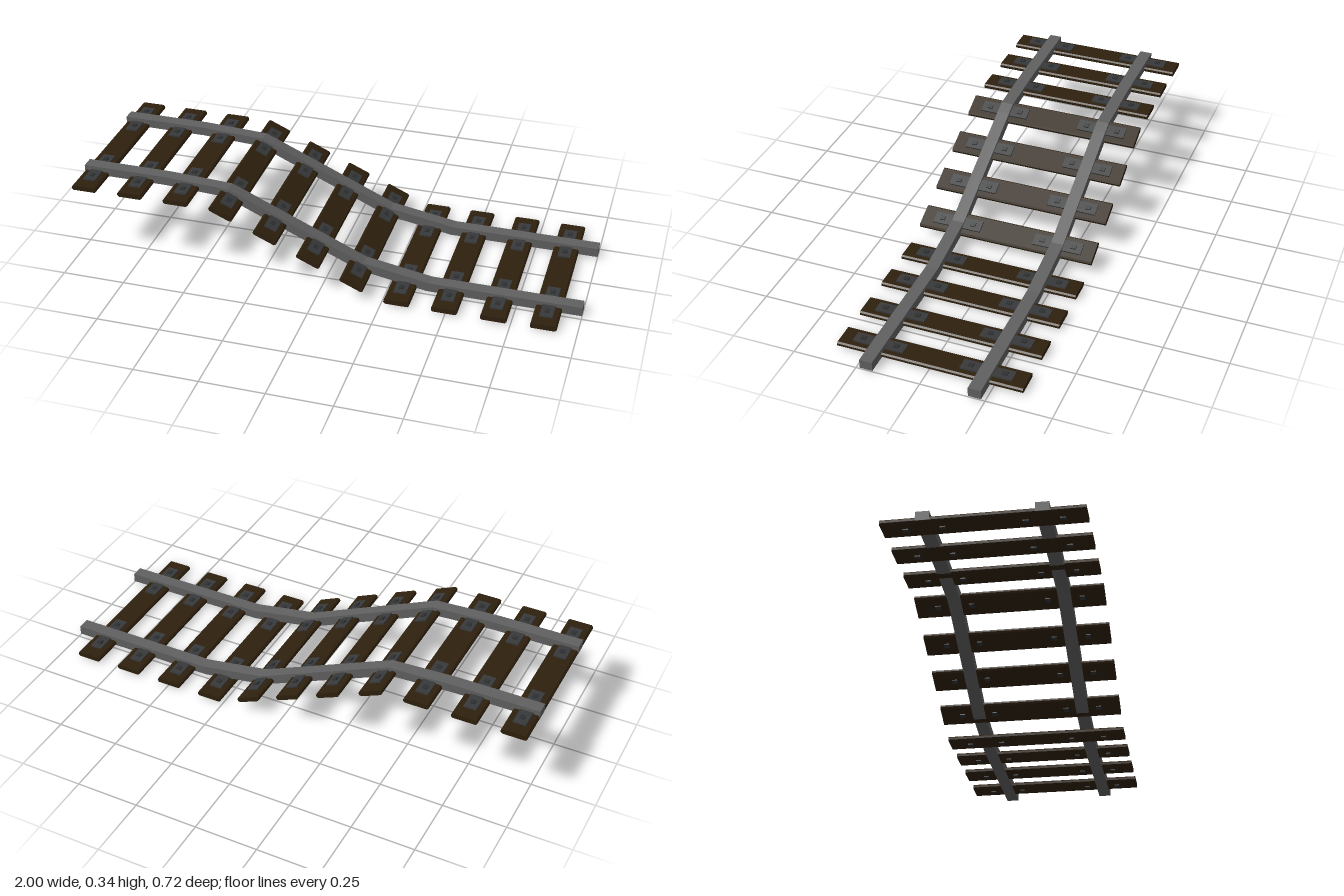
import * as THREE from 'three';

const mat = (name, color) => {
  const m = new THREE.MeshStandardMaterial({ color });
  m.name = name;
  return m;
};

// Extrudes an x/y outline along z, centred on z = 0
function extrudeZ(points, depth) {
  const shape = new THREE.Shape(points.map(([x, y]) => new THREE.Vector2(x, y)));
  const geo = new THREE.ExtrudeGeometry(shape, { depth, bevelEnabled: false });
  return geo.translate(0, 0, -depth / 2);
}

export function createModel() {
  const track = new THREE.Group();
  track.name = 'slopedTrack';
  const steel = mat('railSteel', 0x606061);
  const wood = mat('darkWood', 0x2e200d);
  const iron = mat('plateIron', 0x38393a);
  const boltIron = mat('boltIron', 0x2e3032);

  const add = (parent, name, geo, material, x = 0, y = 0, z = 0) => {
    const mesh = new THREE.Mesh(geo, material);
    mesh.name = name;
    mesh.position.set(x, y, z);
    parent.add(mesh);
  };

  // Rails: side outline running along the bottom, then back along the top
  const railGeo = extrudeZ([
    [-1, 0.307], [-0.66, 0.306], [-0.415, 0.293], [-0.37, 0.274], [0.13, 0.051], [0.4, 0.004], [1, 0.004],
    [1, 0.041], [0.41, 0.041], [0.145, 0.086], [-0.355, 0.309], [-0.4, 0.328], [-0.66, 0.341], [-1, 0.342],
  ], 0.05);
  for (const side of [1, -1]) {
    add(track, side > 0 ? 'frontRail' : 'backRail', railGeo, steel, 0, 0, side * 0.21);
  }

  // Sleeper with chamfered long edges
  const sleeperGeo = extrudeZ([
    [-0.044, -0.01], [0.044, -0.01], [0.05, -0.0045], [0.05, 0.0045],
    [0.044, 0.01], [-0.044, 0.01], [-0.05, 0.0045], [-0.05, -0.0045],
  ], 0.724);
  const plateGeo = new THREE.BoxGeometry(0.05, 0.012, 0.2);
  const boltGeo = new THREE.BoxGeometry(0.018, 0.036, 0.02);

  // Sleeper placements: x, y, tilt
  const slope = -0.415;
  const placements = [
    [-0.949, 0.312, 0], [-0.759, 0.312, 0], [-0.57, 0.312, 0],
    [-0.387, 0.293, slope], [-0.211, 0.2175, slope], [-0.039, 0.1415, slope], [0.133, 0.0665, slope],
    [0.31, 0.015, 0], [0.496, 0.015, 0], [0.685, 0.015, 0], [0.874, 0.015, 0],
  ];
  for (const [x, y, tilt] of placements) {
    const unit = new THREE.Group();
    unit.name = 'sleeperUnit';
    unit.position.set(x, y, 0);
    unit.rotation.z = tilt;
    add(unit, 'sleeper', sleeperGeo, wood);
    for (const side of [1, -1]) {
      add(unit, 'railPlate', plateGeo, iron, 0, 0.01, side * 0.211);
      for (const z of [0.146, 0.277]) add(unit, 'bolt', boltGeo, boltIron, 0, 0.003, side * z);
    }
    track.add(unit);
  }
  return track;
}
